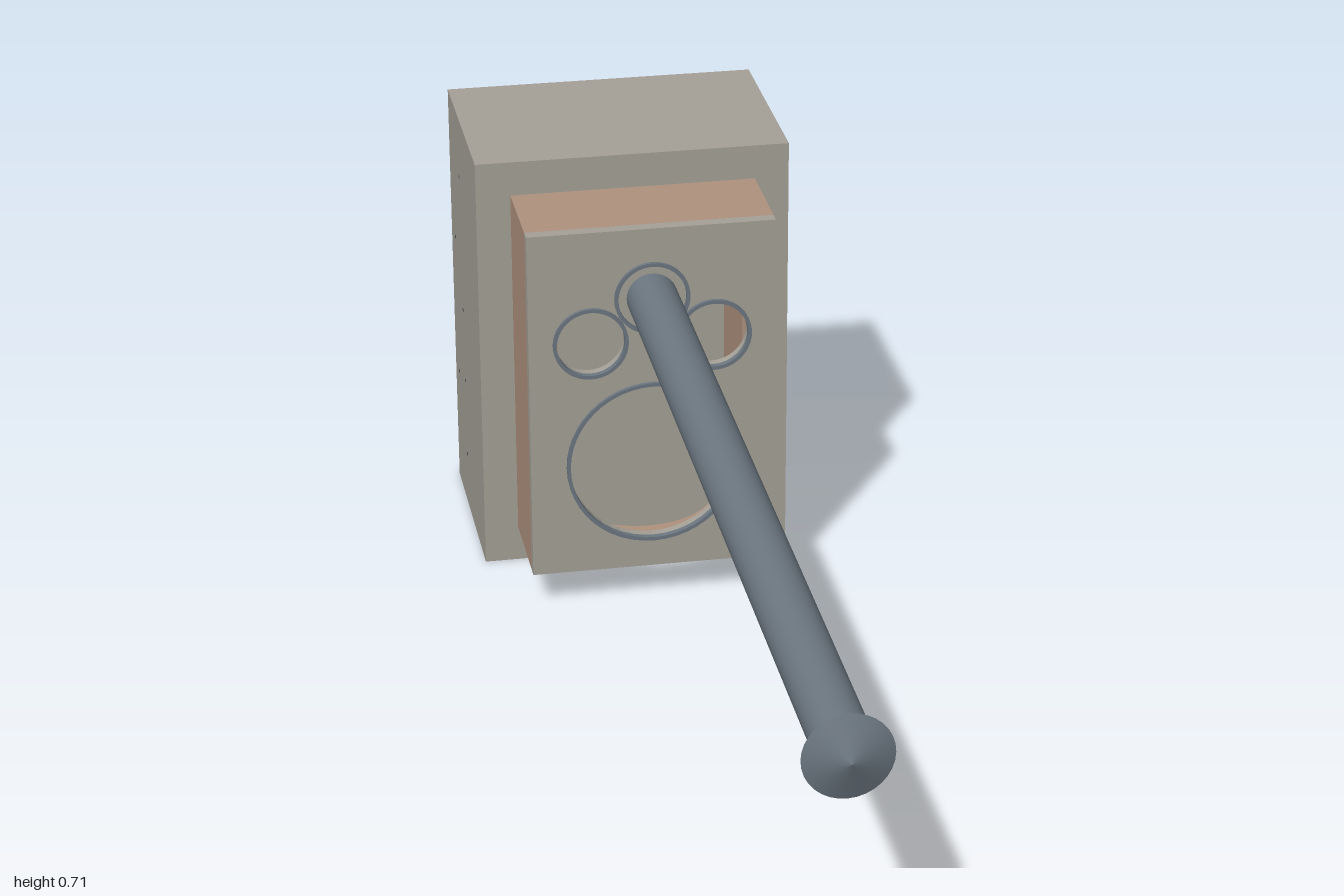
import * as THREE from 'three';

const mat = (name, color, side = THREE.FrontSide) => {
  const m = new THREE.MeshStandardMaterial({ color, side });
  m.name = name;
  return m;
};

export function createModel() {
  const model = new THREE.Group();
  model.name = 'model';
  const grey = mat('warm grey panel', 0xa5a197);
  const brown = mat('light brown panel', 0xb0927f);
  const steel = mat('blue grey steel', 0x6c7781);
  const dark = mat('dark screw', 0x4a4a48);

  const add = (name, geometry, material, x = 0, y = 0, z = 0) => {
    const mesh = new THREE.Mesh(geometry, material);
    mesh.name = name;
    mesh.position.set(x, y, z);
    model.add(mesh);
    return mesh;
  };
  const box = (name, material, x0, x1, y0, y1, z0, z1) =>
    add(name, new THREE.BoxGeometry(x1 - x0, y1 - y0, z1 - z0), material,
      (x0 + x1) / 2, (y0 + y1) / 2, (z0 + z1) / 2);
  const rect = (x0, x1, y0, y1, Type = THREE.Shape) => new Type([
    new THREE.Vector2(x0, y0), new THREE.Vector2(x1, y0),
    new THREE.Vector2(x1, y1), new THREE.Vector2(x0, y1)]);
  const circle = (x, y, r, Type = THREE.Shape) => new Type().absarc(x, y, r, 0, Math.PI * 2);
  const extrude = (shape, depth) =>
    new THREE.ExtrudeGeometry(shape, { depth, bevelEnabled: false, curveSegments: 24 });

  // Rear housing: four walls around a cavity open at the bottom, closed by a lid
  const walls = rect(-0.256, 0.256, -1, -0.66);
  walls.holes.push(rect(-0.2, 0.2, -0.98, -0.68, THREE.Path));
  add('housingWalls', extrude(walls, 0.657).rotateX(Math.PI / 2), grey, 0, 0.657, 0);
  box('housingTop', grey, -0.256, 0.256, 0.657, 0.715, -1, -0.66);

  // Front chamber: side walls, top, and a floor with a round notch at the back
  const t = 0.05, back = -0.66, front = -0.505;
  for (const s of [-1, 1]) {
    const a = s * 0.2, b = s * (0.2 - t);
    box(s > 0 ? 'chamberLeftWall' : 'chamberRightWall', brown,
      Math.min(a, b), Math.max(a, b), 0.06 + t, 0.658 - t, back, front);
  }
  box('chamberTop', brown, -0.2, 0.2, 0.658 - t, 0.658, back, front);
  const floor = new THREE.Shape();
  floor.moveTo(-0.2, back);
  floor.lineTo(-0.13, back);
  floor.absarc(0, back, 0.13, Math.PI, 0, true);
  floor.lineTo(0.2, back);
  floor.lineTo(0.2, front);
  floor.lineTo(-0.2, front);
  add('chamberFloor', extrude(floor, t).rotateX(Math.PI / 2), brown, 0, 0.06 + t, 0);

  // Front panel with one large and two small round openings
  const openings = [[0, 0.25, 0.137], [-0.1, 0.468, 0.056], [0.1, 0.468, 0.056]];
  const panel = rect(-0.2, 0.2, 0.06, 0.658);
  for (const [x, y, r] of openings) panel.holes.push(circle(x, y, r, THREE.Path));
  add('frontPanel', extrude(panel, 0.02), grey, 0, 0, front);

  // Steel trim rings around the openings and the pipe foot
  for (const [x, y, r] of [...openings, [0, 0.54, 0.056]]) {
    const ring = circle(0, 0, r + 0.005);
    ring.holes.push(circle(0, 0, r - 0.001, THREE.Path));
    add('trimRing', extrude(ring, 0.01), steel, x, y, -0.489);
  }

  // Long hollow pipe
  const pipe = circle(0, 0, 0.041);
  pipe.holes.push(circle(0, 0, 0.035, THREE.Path));
  const pipeEnd = 0.955, pipeStart = -0.487;
  const tube = (name, r, material) => add(name,
    new THREE.CylinderGeometry(r, r, pipeEnd - pipeStart, 32, 1, true).rotateX(Math.PI / 2),
    material, 0, 0.54, (pipeStart + pipeEnd) / 2);
  tube('pipe', 0.041, steel);
  const steelInside = mat('blue grey steel lining', 0x6c7781, THREE.BackSide);
  tube('pipeLining', 0.035, steelInside);
  add('pipeRim', new THREE.ShapeGeometry(pipe, 24), steel, 0, 0.54, pipeEnd);

  // Conical cap held off the pipe by four thin posts
  add('pipeCap', new THREE.ConeGeometry(0.0625, 0.022, 32).rotateX(Math.PI / 2),
    steel, 0, 0.54, 0.989);
  for (let i = 0; i < 4; i++) {
    const a = Math.PI / 4 + i * Math.PI / 2;
    add('capPost', new THREE.CylinderGeometry(0.003, 0.003, 0.04, 8).rotateX(Math.PI / 2),
      steel, 0.036 * Math.cos(a), 0.54 + 0.036 * Math.sin(a), 0.963);
  }

  // Tiny screws on both sides of the housing
  const screws = [[0.61, -0.87], [0.47, -0.95], [0.37, -0.87], [0.24, -0.87], [0.22, -0.95], [0.1, -0.87]];
  for (const s of [-1, 1])
    for (const [y, z] of screws)
      add('screw', new THREE.CylinderGeometry(0.003, 0.003, 0.002, 8).rotateZ(Math.PI / 2),
        dark, s * 0.256, y, z);

  return model;
}
